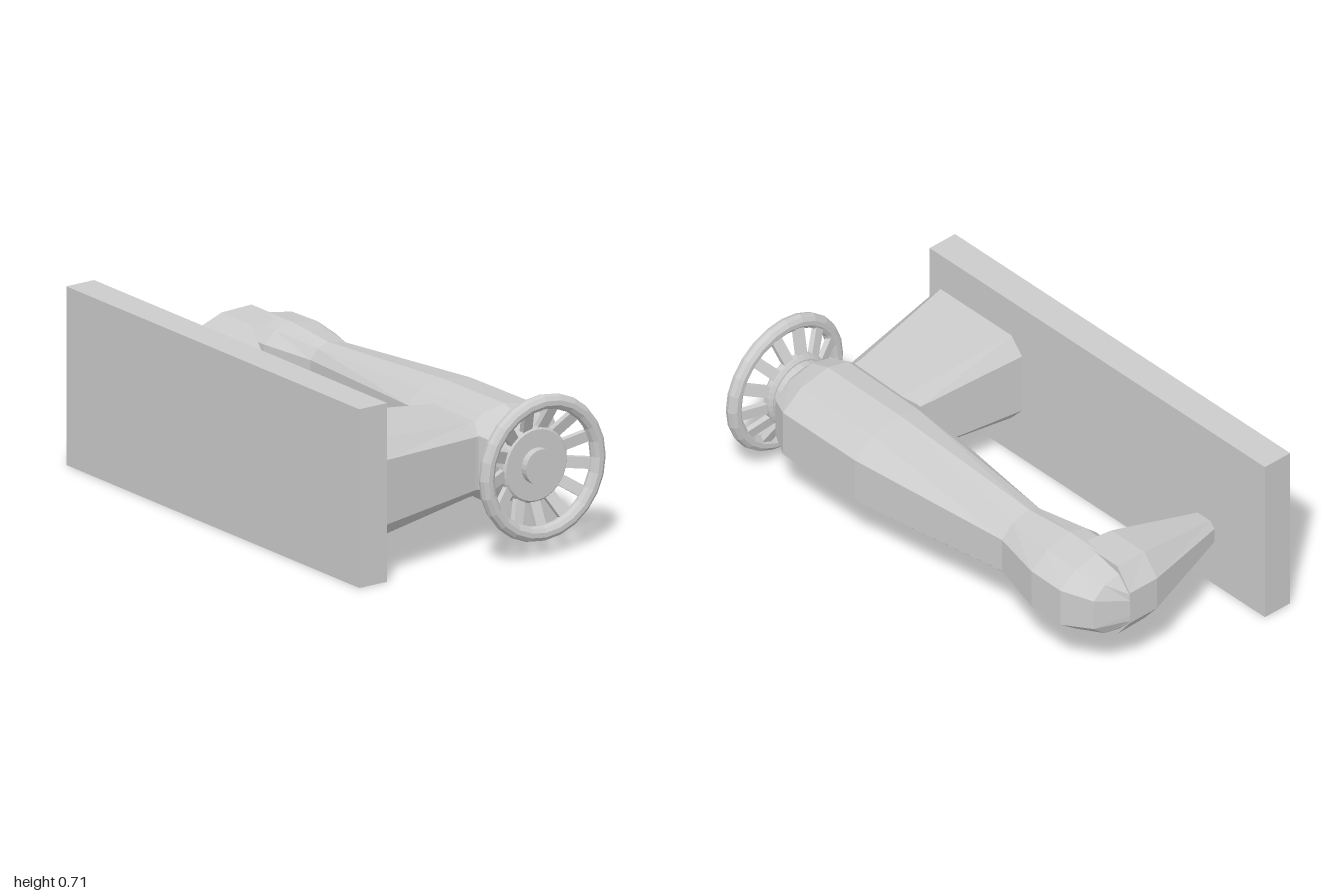
import * as THREE from 'three';

const CY = 0.354, CZ = -0.245; // axis of the arm and the wheel
const material = new THREE.MeshStandardMaterial({ color: 0xcccccc, flatShading: true });

function add(parent, name, geometry) {
  const mesh = new THREE.Mesh(geometry, material);
  mesh.name = name;
  parent.add(mesh);
  return mesh;
}

// Skins a list of equal-length closed rings and caps both ends, faces outward.
function loft(rings) {
  const n = rings[0].length, tris = [];
  for (let i = 0; i < rings.length - 1; i++) {
    for (let j = 0; j < n; j++) {
      const k = (j + 1) % n, a = rings[i], b = rings[i + 1];
      tris.push([a[j], a[k], b[k]], [a[j], b[k], b[j]]);
    }
  }
  const first = rings[0], last = rings[rings.length - 1];
  for (let j = 1; j < n - 1; j++) {
    tris.push([first[0], first[j + 1], first[j]], [last[0], last[j], last[j + 1]]);
  }
  let volume = 0;
  for (const [a, b, c] of tris) volume += a.dot(b.clone().cross(c));
  if (volume < 0) tris.forEach((t) => t.reverse());
  const geometry = new THREE.BufferGeometry().setFromPoints(tris.flat());
  geometry.computeVertexNormals();
  return geometry;
}

// Ten-sided arm section at x: z extents and half width.
function armRing(x, top, bottom, w) {
  const mid = -0.24;
  const half = [
    [top, 0.5 * w],
    [top + 0.4 * (mid - top), 0.87 * w],
    [mid, w],
    [mid + 0.6 * (bottom - mid), 0.88 * w],
    [bottom, 0.6 * w],
  ];
  const ring = half.map(([z, y]) => new THREE.Vector3(x, CY + y, z));
  return ring.concat(half.reverse().map(([z, y]) => new THREE.Vector3(x, CY - y, z)));
}

// Chamfered rectangle at z, for the column and the head.
function octagonRing(z, x0, x1, hy, insetX, flatY) {
  return [
    [x0, flatY], [x0 + insetX, hy], [x1 - insetX, hy], [x1, flatY],
    [x1, -flatY], [x1 - insetX, -hy], [x0 + insetX, -hy], [x0, -flatY],
  ].map(([x, y]) => new THREE.Vector3(x, CY + y, z));
}

export function createModel() {
  const model = new THREE.Group();
  model.name = 'sewingMachine';

  // Base slab
  add(model, 'base', new THREE.BoxGeometry(1.865, 0.708, 0.13)).position.set(-0.0675, 0.354, 0.47);

  // Horizontal arm
  add(model, 'arm', loft([
    [-0.96, -0.25, -0.11, 0.07],
    [-0.90, -0.38, -0.11, 0.13],
    [-0.78, -0.44, -0.11, 0.16],
    [-0.62, -0.44, -0.11, 0.165],
    [-0.39, -0.38, -0.16, 0.145],
    [0.33, -0.47, -0.08, 0.19],
    [0.73, -0.47, -0.07, 0.195],
    [0.82, -0.425, -0.1, 0.165],
    [0.865, -0.35, -0.14, 0.12],
  ].map((s) => armRing(...s))));

  // Head tapering towards the base
  add(model, 'needleHead', loft([
    octagonRing(-0.25, -0.96, -0.62, 0.16, 0.07, 0.07),
    octagonRing(-0.11, -0.96, -0.635, 0.155, 0.07, 0.07),
    octagonRing(0.295, -0.84, -0.72, 0.055, 0.025, 0.03),
  ]));

  // Column between arm and base
  add(model, 'column', loft([
    octagonRing(-0.2, 0.41, 0.77, 0.14, 0.05, 0.1),
    octagonRing(-0.07, 0.40, 0.78, 0.148, 0.05, 0.105),
    octagonRing(0.41, 0.35, 0.865, 0.195, 0.06, 0.128),
  ]));

  // Hand wheel, built around its own y axis and turned to point along +x
  const wheel = new THREE.Group();
  wheel.name = 'handWheel';
  wheel.position.set(0, CY, CZ);
  wheel.rotation.z = -Math.PI / 2;
  model.add(wheel);

  add(wheel, 'wheelAxle', new THREE.CylinderGeometry(0.13, 0.13, 0.07, 24)).position.y = 0.86;
  add(wheel, 'wheelHub', new THREE.LatheGeometry([
    [0, 0.885], [0.135, 0.885], [0.15, 0.895], [0.15, 0.92], [0.14, 0.93], [0, 0.93],
  ].map(([r, y]) => new THREE.Vector2(r, y)), 32));
  add(wheel, 'hubCap', new THREE.CylinderGeometry(0.07, 0.07, 0.04, 24)).position.y = 0.94;

  const rim = add(wheel, 'wheelRim', new THREE.TorusGeometry(0.26, 0.03, 10, 24));
  rim.rotation.x = Math.PI / 2;
  rim.position.y = 0.967;

  // Slanted spokes from hub to rim
  const count = 13, rise = 0.055, run = 0.12;
  for (let i = 0; i < count; i++) {
    const turn = new THREE.Group();
    turn.name = 'spoke';
    turn.rotation.y = (i / count) * Math.PI * 2;
    wheel.add(turn);
    const bar = add(turn, 'spokeBar', new THREE.BoxGeometry(Math.hypot(rise, run), 0.022, 0.045));
    bar.position.set(0.19, 0.932, 0);
    bar.rotation.z = Math.atan2(rise, run);
  }
  return model;
}
